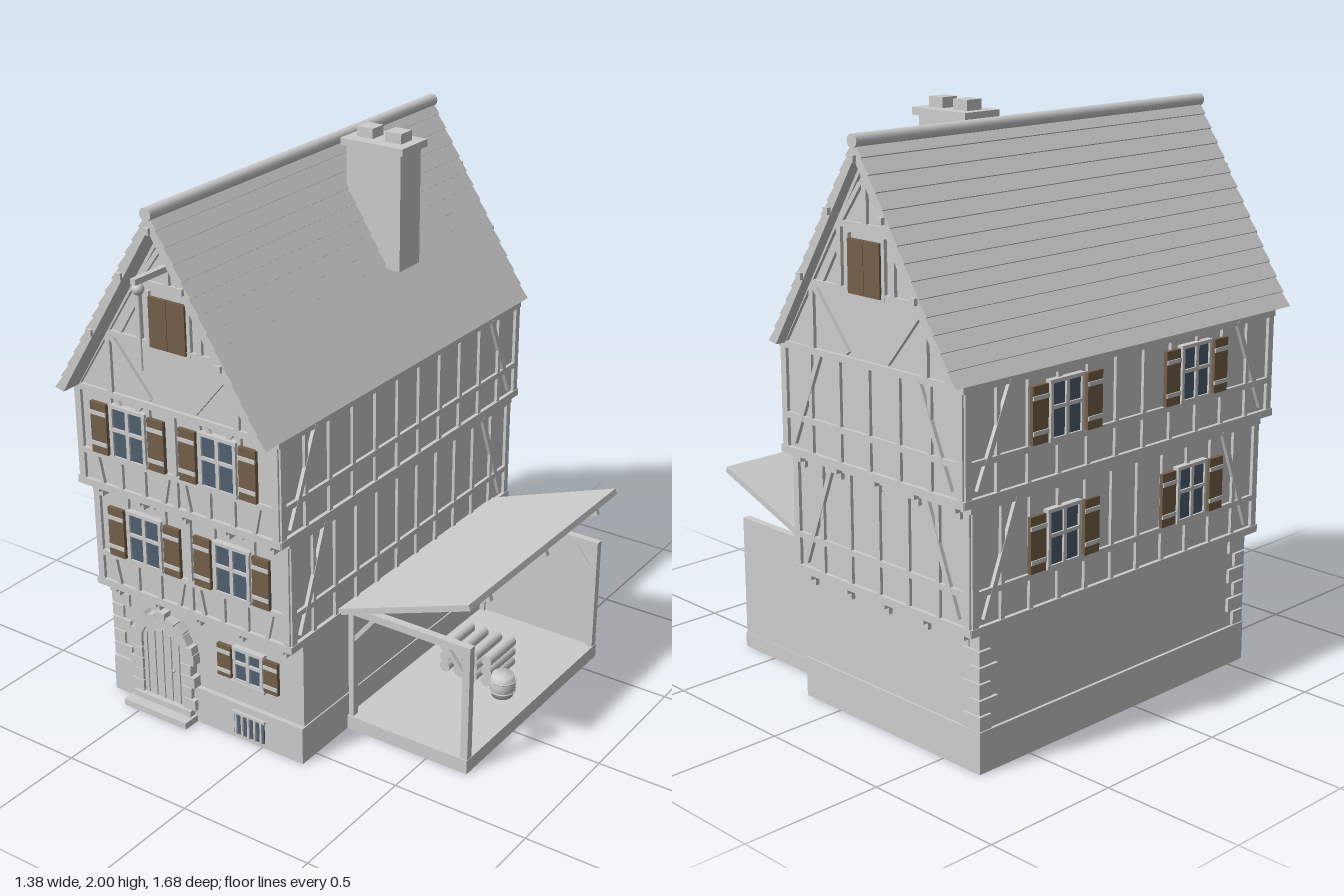
import * as THREE from 'three';

const mat = (name, color, side = THREE.FrontSide) => {
  const m = new THREE.MeshStandardMaterial({ color, side });
  m.name = name;
  return m;
};

export function createModel() {
  const grey = mat('pale grey', 0xcccccc);
  const brown = mat('shutter brown', 0x75604a);
  const blue = mat('window blue', 0x50606f);
  const CX = -0.247; // house centre line

  const root = new THREE.Group();
  root.name = 'timberHouse';
  const add = (parent, name, geo, m, x = 0, y = 0, z = 0) => {
    const mesh = new THREE.Mesh(geo, m);
    mesh.name = name;
    mesh.position.set(x, y, z);
    parent.add(mesh);
    return mesh;
  };
  const box = (p, name, m, w, h, d, x, y, z) => add(p, name, new THREE.BoxGeometry(w, h, d), m, x, y, z);
  // box given by its limits
  const span = (p, name, m, x0, x1, y0, y1, z0, z1) =>
    box(p, name, m, x1 - x0, y1 - y0, z1 - z0, (x0 + x1) / 2, (y0 + y1) / 2, (z0 + z1) / 2);
  // straight timber between two points of a facade
  const beam = (p, u0, v0, u1, v1, w = 0.02, d = 0.024, z = 0) => {
    const m = box(p, 'timber', grey, Math.hypot(u1 - u0, v1 - v0), w, d, (u0 + u1) / 2, (v0 + v1) / 2, z);
    m.rotation.z = Math.atan2(v1 - v0, u1 - u0);
  };
  // facade group: local x across, y up, z outwards
  const facade = (name, x, z, turn) => {
    const g = new THREE.Group();
    g.name = name;
    g.position.set(x, 0, z);
    g.rotation.y = turn;
    root.add(g);
    return g;
  };
  const extrude = (pts, depth) => {
    const s = new THREE.Shape(pts.map(p => new THREE.Vector2(p[0], p[1])));
    return new THREE.ExtrudeGeometry(s, { depth, bevelEnabled: false });
  };

  // window with frame, glazing bars and a pair of strapped shutters
  function windowUnit(parent, u, v, w, h, sw, gap) {
    const g = new THREE.Group();
    g.name = 'window';
    g.position.set(u, v, 0);
    parent.add(g);
    box(g, 'glass', blue, w, h, 0.008, 0, 0, 0.012);
    for (const s of [-1, 1]) {
      box(g, 'frameSide', grey, 0.012, h, 0.022, s * (w / 2 - 0.003), 0, 0.012);
      box(g, 'frameEdge', grey, w + 0.01, 0.012, 0.022, 0, s * (h / 2), 0.012);
      const x = s * (w / 2 + gap + sw / 2);
      box(g, 'shutter', brown, sw, h, 0.014, x, 0, 0.018);
      for (const t of [-1, 1]) box(g, 'shutterStrap', grey, sw, 0.014, 0.006, x, t * h * 0.3, 0.026);
    }
    box(g, 'mullion', grey, 0.014, h, 0.018, 0, 0, 0.014);
    box(g, 'transom', grey, w, 0.012, 0.018, 0, 0.01, 0.014);
  }

  // plinth and ground floor
  span(root, 'plinth', grey, -0.665, 0.173, 0, 0.14, -0.72, 0.578);
  span(root, 'groundFloor', grey, -0.655, 0.168, 0.14, 0.47, -0.712, 0.56);

  // quoins on the two left corners
  for (const z of [0.56, -0.712]) for (let i = 0; i < 6; i++) {
    const a = i % 2 ? 0.05 : 0.08, b = i % 2 ? 0.08 : 0.05, s = Math.sign(z);
    box(root, 'quoin', grey, a, 0.048, b, -0.667 + a / 2, 0.168 + i * 0.054, z + s * 0.01 - s * b / 2);
  }

  // timber-framed storeys
  function storey(y0, y1, hw, zf, zb) {
    span(root, 'storeyWall', grey, CX - hw, CX + hw, y0, y1, zb, zf);
    const zc = (zf + zb) / 2, hd = (zf - zb) / 2, sill = y0 + 0.13, lo = y0 + 0.012, hi = y1 - 0.012;
    const sides = [
      ['frontFrame', CX, zf, 0, hw], ['backFrame', CX, zb, Math.PI, hw],
      ['leftFrame', CX + hw, zc, Math.PI / 2, hd], ['rightFrame', CX - hw, zc, -Math.PI / 2, hd]];
    sides.forEach(([name, x, z, turn, h], k) => {
      const g = facade(name, x, z, turn);
      beam(g, -h - 0.012, lo, h + 0.012, lo, 0.026, 0.028);
      beam(g, -h - 0.012, hi, h + 0.012, hi, 0.022);
      beam(g, -h, sill, h, sill, 0.02);
      for (const s of [-1, 1]) beam(g, s * (h - 0.008), lo, s * (h - 0.008), hi, 0.026);
      if (k === 0) {
        for (const u of [-0.187, 0.187]) {
          windowUnit(g, u, sill + 0.105, 0.144, 0.185, 0.068, 0.016);
          for (const s of [-1, 1]) {
            beam(g, u + s * 0.082, sill, u + s * 0.082, hi, 0.018);
            beam(g, u + s * 0.05, lo, u + s * 0.05, sill, 0.016);
            beam(g, u + s * 0.13, lo, u + s * 0.155, sill, 0.016);
            beam(g, u + s * 0.035, hi - 0.035, u + s * 0.06, hi, 0.014);
          }
        }
        beam(g, 0, lo, 0, hi, 0.018);
      } else {
        const n = k === 1 ? 6 : 11;
        for (let i = 1; i < n; i++) {
          const u = -h + 2 * h * i / n;
          beam(g, u, lo, u, hi, 0.016, 0.022);
        }
        for (const s of [-1, 1]) beam(g, s * (h - 0.05), lo + 0.03, s * (h - 0.19), hi, 0.018, 0.026);
      }
      // two shuttered windows on the side away from the lean-to
      if (k === 3) for (const zz of [-0.36, 0.26]) windowUnit(g, zz - zc, sill + 0.105, 0.144, 0.185, 0.068, 0.016);
    });
    // stepped joist ends below the jetties
    for (const [z, s] of [[zf, 1], [zb, -1]]) for (let i = -2; i <= 2; i++) {
      box(root, 'joistEnd', grey, 0.028, 0.024, 0.07, CX + i * 0.182, y0 - 0.012, z - s * 0.035);
      box(root, 'joistCorbel', grey, 0.024, 0.024, 0.05, CX + i * 0.182, y0 - 0.036, z - s * 0.045);
    }
  }
  storey(0.465, 0.88, 0.41, 0.622, -0.747);
  storey(0.88, 1.255, 0.416, 0.676, -0.78);

  // gable walls
  add(root, 'gableWall', extrude([[-0.4, 1.25], [0.4, 1.25], [0, 1.885]], 1.456), grey, CX, 0, -0.78);
  for (const [name, z, turn] of [['frontGable', 0.676, 0], ['backGable', -0.78, Math.PI]]) {
    const g = facade(name, CX, z, turn);
    beam(g, -0.26, 1.465, 0.26, 1.465);
    beam(g, -0.13, 1.67, 0.13, 1.67);
    beam(g, 0, 1.67, 0, 1.88);
    for (const s of [-1, 1]) {
      beam(g, s * 0.4, 1.26, 0, 1.875, 0.02);
      beam(g, s * 0.262, 1.25, s * 0.262, 1.48);
      beam(g, s * 0.25, 1.455, s * 0.09, 1.265, 0.018);
      beam(g, s * 0.122, 1.465, s * 0.122, 1.69);
      beam(g, s * 0.205, 1.48, s * 0.13, 1.6, 0.014);
      beam(g, s * 0.11, 1.68, s * 0.02, 1.8, 0.016);
      box(g, 'hatchDoor', brown, 0.072, 0.17, 0.014, s * 0.037, 1.545, 0.012);
      box(g, 'hatchPost', grey, 0.014, 0.19, 0.026, s * 0.082, 1.55, 0);
    }
  }

  // roof with overlapping courses
  const courses = 14, slope = [];
  for (let i = 0; i < courses; i++) {
    const a = i / courses, b = (i + 1) / courses;
    slope.push([0.429 * (1 - a) + 0.006, 1.252 + 0.68 * a + 0.004], [0.429 * (1 - b), 1.252 + 0.68 * b]);
  }
  const left = slope.slice(0, -1).reverse().map(([x, y]) => [-x, y]);
  const roofPts = [[0.398, 1.248], ...slope, ...left, [-0.398, 1.248], [0, 1.88]];
  add(root, 'roof', extrude(roofPts, 1.59), grey, CX, 0, -0.828);
  const cap = add(root, 'ridgeCap', new THREE.CylinderGeometry(0.022, 0.022, 1.605, 16), grey, CX, 1.933, -0.032);
  cap.rotation.x = Math.PI / 2;
  for (const [u, y] of [[0, 1.88], [-0.123, 1.71], [0.123, 1.71], [-0.262, 1.49], [0.262, 1.49]])
    box(root, 'purlin', grey, 0.022, 0.022, 1.614, CX + u, y, -0.034);

  // hoist
  span(root, 'hoistBeam', grey, CX - 0.01, CX + 0.01, 1.728, 1.748, 0.66, 0.84);
  add(root, 'hoistPulley', new THREE.SphereGeometry(0.02, 16, 10), grey, CX, 1.71, 0.818);
  add(root, 'hoistRope', new THREE.CylinderGeometry(0.004, 0.004, 0.27, 8), grey, CX, 1.575, 0.818);

  // chimney
  span(root, 'chimneyStack', grey, -0.16, 0.058, 1.53, 1.942, -0.287, -0.165);
  span(root, 'chimneyCap', grey, -0.175, 0.074, 1.94, 1.965, -0.303, -0.15);
  for (const x of [-0.107, 0.007]) box(root, 'chimneyPot', grey, 0.064, 0.04, 0.064, x, 1.98, -0.228);

  // arched door with stone surround
  const door = facade('door', -0.426, 0.56, 0);
  const arch = new THREE.Shape();
  arch.moveTo(-0.1, 0.04);
  arch.lineTo(0.1, 0.04);
  arch.lineTo(0.1, 0.26);
  arch.absarc(0, 0.26, 0.1, 0, Math.PI, false);
  add(door, 'doorLeaf', new THREE.ExtrudeGeometry(arch, { depth: 0.024, bevelEnabled: false, curveSegments: 16 }), grey);
  for (let i = -2; i <= 2; i++) box(door, 'doorBatten', grey, 0.006, 0.28 - Math.abs(i) * 0.015, 0.006, i * 0.036, 0.19 - Math.abs(i) * 0.0075, 0.026);
  add(door, 'doorKnob', new THREE.SphereGeometry(0.006, 8, 6), grey, 0.05, 0.18, 0.03);
  for (const s of [-1, 1]) for (let i = 0; i < 5; i++) {
    const w = i % 2 ? 0.04 : 0.055;
    box(door, 'jambStone', grey, w, 0.042, 0.05, s * (0.09 + w / 2), 0.071 + i * 0.046, 0.01);
  }
  for (let i = 0; i < 9; i++) {
    const a = Math.PI * (i + 0.5) / 9, h = i % 2 ? 0.036 : 0.05;
    const r = 0.092 + h / 2;
    const m = box(door, 'archStone', grey, h, 0.04, 0.05, Math.cos(a) * r, 0.26 + Math.sin(a) * r, 0.01);
    m.rotation.z = a;
  }
  span(door, 'lowerStep', grey, -0.14, 0.14, 0, 0.025, 0, 0.085);
  span(door, 'upperStep', grey, -0.13, 0.13, 0.025, 0.048, 0, 0.045);

  // ground-floor window and barred cellar light
  const front = facade('groundFront', -0.053, 0.56, 0);
  windowUnit(front, 0, 0.3, 0.122, 0.125, 0.058, 0.01);
  box(front, 'windowSill', grey, 0.145, 0.012, 0.03, 0, 0.23, 0.012);
  box(front, 'cellarGlass', blue, 0.13, 0.085, 0.008, 0, 0.062, 0.018);
  for (let i = -2; i <= 2; i++) box(front, 'cellarBar', grey, 0.008, 0.085, 0.008, i * 0.027, 0.062, 0.025);
  box(front, 'cellarLintel', grey, 0.14, 0.01, 0.012, 0, 0.108, 0.022);

  // lean-to: slab, rear wall, posts and braces
  span(root, 'shedFloor', grey, 0.17, 0.662, 0, 0.053, -0.605, 0.312);
  span(root, 'shedBackWall', grey, 0.17, 0.65, 0.05, 0.47, -0.602, -0.585);
  for (const z of [0.292, -0.588]) {
    box(root, 'shedPost', grey, 0.028, 0.41, 0.028, 0.646, 0.257, z);
    box(root, 'shedWallPost', grey, 0.02, 0.41, 0.028, 0.184, 0.257, z);
    box(root, 'shedBeam', grey, 0.49, 0.028, 0.028, 0.415, 0.475, z);
    const g = facade('shedBraces', 0, z, 0);
    beam(g, 0.19, 0.36, 0.27, 0.46, 0.016, 0.016);
    beam(g, 0.64, 0.36, 0.56, 0.46, 0.016, 0.016);
  }

  // lean-to roof rising outwards, with rafters below
  const shed = facade('shedRoof', 0.425, -0.149, 0);
  shed.position.y = 0.582;
  shed.rotation.z = 0.348;
  box(shed, 'shedRoofBoard', grey, 0.545, 0.022, 1.007, 0, 0, 0);
  for (const z of [0.222, -0.148, -0.513]) box(shed, 'shedRafter', grey, 0.54, 0.024, 0.018, -0.004, -0.022, z + 0.149);

  // stacked logs and barrel
  for (let r = 0; r < 3; r++) for (let c = 0; c < 4; c++) {
    const log = add(root, 'log', new THREE.CylinderGeometry(0.021, 0.021, 0.175, 14), grey, 0.3 + c * 0.058, 0.074 + r * 0.041, -0.208);
    log.rotation.x = Math.PI / 2;
  }
  const barrel = [[0, 0], [0.038, 0], [0.046, 0.028], [0.047, 0.044], [0.046, 0.06], [0.038, 0.086], [0, 0.086]];
  add(root, 'barrel', new THREE.LatheGeometry(barrel.map(p => new THREE.Vector2(p[0], p[1])), 20), grey, 0.55, 0.053, -0.11);
  for (const y of [0.076, 0.117]) {
    const hoop = add(root, 'barrelHoop', new THREE.TorusGeometry(0.046, 0.003, 6, 20), grey, 0.55, y, -0.11);
    hoop.rotation.x = Math.PI / 2;
  }
  return root;
}
